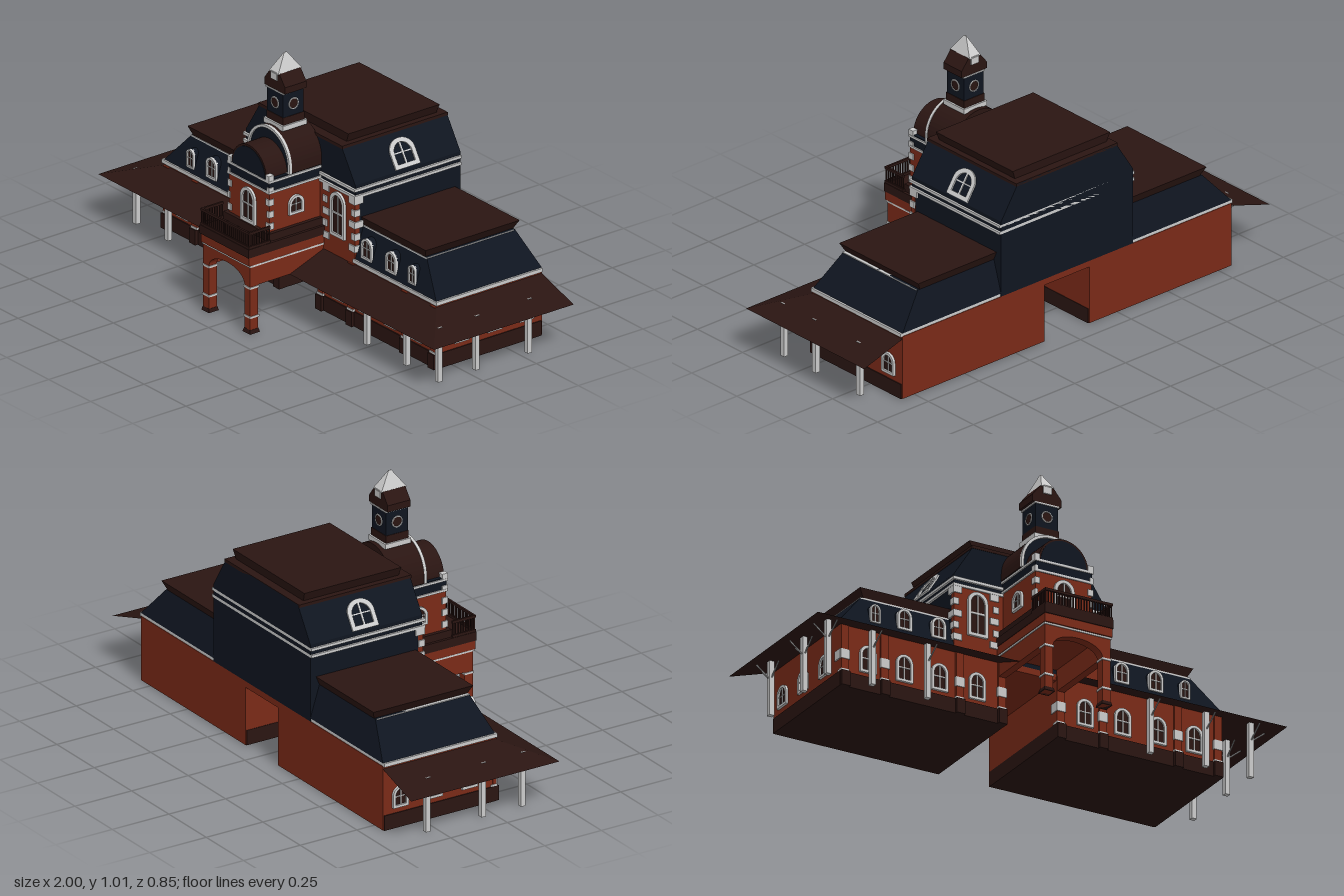
import * as THREE from 'three';

const mat = (color) => new THREE.MeshStandardMaterial({ color, flatShading: true, side: THREE.DoubleSide });

export function createModel() {
  const root = new THREE.Group();
  const brick = mat(0x7a2a18), brown = mat(0x2a1512), navy = mat(0x0f1520), white = mat(0xcccccc);

  const add = (name, geo, m, parent = root) => {
    const mesh = new THREE.Mesh(geo, m);
    mesh.name = name;
    parent.add(mesh);
    return mesh;
  };

  // Block whose bottom and top rectangles [x0, x1, z0, z1] may differ; s = -1 mirrors it
  function taper(name, m, s, bottom, y0, top, y1) {
    const g = new THREE.BoxGeometry(1, 1, 1), p = g.attributes.position;
    for (let i = 0; i < p.count; i++) {
      const up = p.getY(i) > 0, r = up ? top : bottom;
      const right = p.getX(i) > 0;
      const x = s > 0 ? r[right ? 1 : 0] : -r[right ? 0 : 1];
      p.setXYZ(i, x, up ? y1 : y0, p.getZ(i) > 0 ? r[3] : r[2]);
    }
    g.computeVertexNormals();
    return add(name, g, m);
  }
  const block = (name, m, s, x0, x1, y0, y1, z0, z1) =>
    taper(name, m, s, [x0, x1, z0, z1], y0, [x0, x1, z0, z1], y1);

  // Round-topped outline standing on y = base
  function archPath(P, w, h, rise, base = 0) {
    const p = new P();
    p.moveTo(-w / 2, base);
    p.lineTo(w / 2, base);
    p.lineTo(w / 2, h - rise);
    p.absellipse(0, h - rise, w / 2, rise, 0, Math.PI, false);
    p.closePath();
    return p;
  }
  const extrude = (shape, depth, z = 0) =>
    new THREE.ExtrudeGeometry(shape, { depth, bevelEnabled: false, curveSegments: 12 }).translate(0, 0, z);

  // Arched window with frame, glazing bars and pane, facing local +z
  function archWindow(name, w, h, pos, rot = [0, 0, 0], pane = brown, rise = w / 2) {
    const g = new THREE.Group(), t = w * 0.15;
    g.name = name;
    const frame = archPath(THREE.Shape, w, h, rise);
    frame.holes.push(archPath(THREE.Path, w - 2 * t, h - t, rise - t / 2, t));
    add('windowFrame', extrude(frame, 0.014, -0.006), white, g);
    add('windowPane', extrude(archPath(THREE.Shape, w - t, h - t / 2, rise - t / 4, t / 2), 0.006, -0.005), pane, g);
    add('windowBar', new THREE.BoxGeometry(w * 0.06, h - t, 0.006), white, g).position.set(0, h / 2, 0.002);
    add('windowBar', new THREE.BoxGeometry(w - t, h * 0.04, 0.006), white, g).position.set(0, h * 0.52, 0.002);
    g.position.set(...pos);
    g.rotation.set(...rot);
    root.add(g);
  }

  function rod(name, a, b, r) {
    const A = new THREE.Vector3(...a), d = new THREE.Vector3(...b).sub(A);
    const m = add(name, new THREE.CylinderGeometry(r, r, d.length(), 5), white);
    m.position.copy(A).addScaledVector(d, 0.5);
    m.quaternion.setFromUnitVectors(new THREE.Vector3(0, 1, 0), d.normalize());
  }

  for (const s of [-1, 1]) {
    // Ground floor with plinth, either side of the passage
    block('groundFloorWall', brick, s, 0.11, 0.81, 0.002, 0.26, -0.425, 0.068);
    block('plinth', brown, s, 0.108, 0.814, 0, 0.06, -0.42, 0.073);
    for (const x of [0.125, 0.305, 0.625, 0.795]) {
      block('pilaster', brick, s, x - 0.016, x + 0.016, 0.06, 0.25, 0.06, 0.076);
      block('pilasterBase', brown, s, x - 0.018, x + 0.018, 0, 0.06, 0.06, 0.085);
      block('quoin', white, s, x - 0.019, x + 0.019, 0.11, 0.148, 0.035, 0.079);
      block('pilasterBand', white, s, x - 0.018, x + 0.018, 0.06, 0.068, 0.05, 0.079);
    }
    block('cornerQuoin', white, s, 0.78, 0.816, 0.11, 0.148, 0.035, 0.075);
    for (const x of [0.23, 0.39, 0.54, 0.695]) archWindow('groundWindow', 0.07, 0.11, [s * x, 0.075, 0.07]);
    for (const z of [-0.045, -0.2, -0.35]) archWindow('endWindow', 0.068, 0.085, [s * 0.812, 0.082, z], [0, s * Math.PI / 2, 0]);

    // Canopy hipped around the front and the end
    const v = [[0.14, 0.19, 0.23], [1, 0.19, 0.23], [0.81, 0.25, 0.068], [0.14, 0.25, 0.068], [1, 0.19, -0.425], [0.81, 0.25, -0.425]];
    const tri = [0, 1, 2, 0, 2, 3, 1, 4, 5, 1, 5, 2];
    if (s < 0) tri.reverse();
    const canopy = new THREE.BufferGeometry();
    canopy.setAttribute('position', new THREE.Float32BufferAttribute(tri.flatMap((i) => [s * v[i][0], v[i][1], v[i][2]]), 3));
    canopy.computeVertexNormals();
    add('canopy', canopy, brown);

    // Canopy posts and braces
    for (const [x, z] of [[0.475, 0.13], [0.71, 0.13], [0.9, 0.13], [0.9, -0.045], [0.9, -0.29]]) {
      block('canopyPost', white, s, x - 0.01, x + 0.01, 0, 0.22, z - 0.01, z + 0.01);
      if (z > 0) rod('canopyBrace', [s * x, 0.145, z], [s * x, 0.193, z + 0.07], 0.003);
      if (x === 0.9) {
        rod('canopyBrace', [s * x, 0.145, z], [s * (x + 0.06), 0.193, z], 0.003);
        if (z < 0) for (const d of [-0.06, 0.06]) rod('canopyBrace', [s * x, 0.145, z], [s * x, 0.2, z + d], 0.003);
      }
    }

    // Wing mansard roof with cornice, cap and dormers
    block('wingCornice', white, s, 0.32, 0.818, 0.258, 0.273, -0.423, 0.076);
    taper('wingMansard', navy, s, [0.3, 0.81, -0.425, 0.07], 0.273, [0.3, 0.7, -0.385, 0.028], 0.4);
    block('wingRoofTrim', white, s, 0.32, 0.703, 0.39, 0.4, -0.38, 0.03);
    taper('wingRoofCap', brown, s, [0.3, 0.69, -0.385, 0.028], 0.4, [0.3, 0.71, -0.4, 0.04], 0.435);
    for (const [x, w, h] of [[0.39, 0.06, 0.085], [0.535, 0.06, 0.085], [0.66, 0.042, 0.075]]) {
      const dormer = add('dormer', extrude(archPath(THREE.Shape, w, h, w / 2), 0.05, 0.01), navy);
      dormer.position.set(s * x, 0.29, 0);
      archWindow('dormerWindow', w, h, [s * x, 0.29, 0.062]);
    }

    // Front of the central block: brick bay, quoins and tall window
    block('centralBay', brick, s, 0.11, 0.327, 0.25, 0.52, 0.05, 0.071);
    for (let i = 0; i < 5; i++) {
      const y = 0.3 + i * 0.048, w = i % 2 ? 0.022 : 0.036;
      block('bayQuoin', white, s, 0.332 - w, 0.332, y, y + 0.026, 0.072 - w, 0.076);
      block('bayQuoin', white, s, 0.14, 0.14 + w, y, y + 0.026, 0.05, 0.076);
      block('towerQuoin', white, s, 0.124 - w * 0.6, 0.124, y + 0.085, y + 0.11, 0.29, 0.315);
    }
    archWindow('tallWindow', 0.085, 0.18, [s * 0.23, 0.33, 0.073]);

    // Big arched window lying on the end slope of the central mansard
    const lean = Math.atan2(0.083, 0.13);
    archWindow('mansardWindow', 0.115, 0.115, [s * 0.321, 0.573, -0.18], [-lean, s * Math.PI / 2, 0, 'YXZ'], white, 0.05);

    // Porch piers and side beams
    block('porchPier', brick, s, 0.105, 0.14, 0, 0.19, 0.378, 0.415);
    taper('pierFoot', brown, s, [0.1, 0.145, 0.373, 0.42], 0, [0.104, 0.141, 0.377, 0.416], 0.015);
    for (const y of [0.062, 0.18]) block('pierBand', white, s, 0.102, 0.143, y, y + 0.008, 0.375, 0.418);
    block('porchSide', brick, s, 0.11, 0.14, 0.19, 0.31, 0.06, 0.4);
    archWindow('towerSideWindow', 0.07, 0.075, [s * 0.122, 0.42, 0.188], [0, s * Math.PI / 2, 0]);
  }

  // Central block, with the mansard sloping to its ends only
  block('passageLintel', brick, 1, -0.115, 0.115, 0.235, 0.26, -0.425, 0.068);
  block('centralWall', navy, 1, -0.325, 0.325, 0.26, 0.57, -0.425, 0.068);
  for (const y of [0.518, 0.545]) block('centralBand', white, 1, -0.333, 0.333, y, y + 0.011, -0.425, 0.077);
  taper('centralMansard', navy, 1, [-0.325, 0.325, -0.425, 0.068], 0.57, [-0.242, 0.242, -0.425, 0.068], 0.7);
  block('roofTrim', brown, 1, -0.25, 0.25, 0.69, 0.702, -0.425, 0.07);
  taper('centralRoofCap', brown, 1, [-0.225, 0.225, -0.39, 0.03], 0.7, [-0.24, 0.24, -0.395, 0.033], 0.738);

  // Porch front with its arch and trim
  const porch = new THREE.Shape();
  porch.moveTo(0.14, 0.19);
  porch.lineTo(0.14, 0.31);
  porch.lineTo(-0.14, 0.31);
  porch.lineTo(-0.14, 0.19);
  porch.lineTo(-0.105, 0.19);
  porch.absellipse(0, 0.19, 0.105, 0.052, Math.PI, 0, true);
  add('porchArch', extrude(porch, 0.037, 0.378), brick);
  for (const s of [-1, 1]) block('porchBand', white, s, 0.13, 0.143, 0.268, 0.275, 0.07, 0.417);
  block('porchBand', white, 1, -0.143, 0.143, 0.268, 0.275, 0.4, 0.419);
  block('porchEntablature', brick, 1, -0.144, 0.144, 0.276, 0.31, 0.07, 0.423);

  // Balcony with railing
  block('balconyFloor', brown, 1, -0.146, 0.146, 0.31, 0.345, 0.07, 0.427);
  block('towerPlinth', brown, 1, -0.135, 0.135, 0.34, 0.375, 0.07, 0.325);
  const rail = (x0, x1, z0, z1) => {
    block('handrail', brown, 1, x0, x1, 0.402, 0.412, z0, z1);
    block('bottomRail', brown, 1, x0, x1, 0.345, 0.355, z0, z1);
  };
  rail(-0.144, 0.144, 0.417, 0.425);
  for (const s of [-1, 1]) {
    rail(s * 0.14 - 0.004, s * 0.14 + 0.004, 0.322, 0.425);
    for (let i = 0; i < 9; i++) {
      const z = 0.326 + i * 0.0115;
      block('baluster', brown, s, 0.138, 0.142, 0.345, 0.405, z - 0.002, z + 0.002);
    }
  }
  for (let i = 0; i <= 24; i++) block('baluster', brown, 1, -0.14 + i * 0.01167 - 0.002, -0.14 + i * 0.01167 + 0.002, 0.345, 0.405, 0.419, 0.423);

  // Tower over the porch with two stepped barrel roofs
  block('towerWall', brick, 1, -0.12, 0.12, 0.37, 0.535, 0.06, 0.31);
  block('towerFrieze', navy, 1, -0.12, 0.12, 0.53, 0.585, 0.06, 0.311);
  for (const y of [0.53, 0.572]) block('towerBand', white, 1, -0.125, 0.125, y, y + 0.009, 0.065, 0.315);
  archWindow('balconyDoor', 0.085, 0.14, [0, 0.376, 0.312]);
  add('lowerBarrelRoof', extrude(archPath(THREE.Shape, 0.21, 0.685, 0.105, 0.58), 0.24, 0.07), brown);
  add('lowerBarrelFace', extrude(archPath(THREE.Shape, 0.195, 0.677, 0.0975, 0.581), 0.004, 0.308), navy);
  add('upperBarrelRoof', extrude(archPath(THREE.Shape, 0.25, 0.735, 0.125, 0.585), 0.145, 0.065), brown);
  add('upperBarrelFace', extrude(archPath(THREE.Shape, 0.235, 0.727, 0.1175, 0.586), 0.004, 0.21), navy);
  const rim = archPath(THREE.Shape, 0.254, 0.737, 0.127, 0.585);
  rim.holes.push(archPath(THREE.Path, 0.232, 0.726, 0.116, 0.586));
  add('barrelRim', extrude(rim, 0.012, 0.209), white);

  // Clock turret
  const cz = 0.14;
  const stage = (name, m, r0, y0, r1, y1, d0 = r0, d1 = r1) =>
    taper(name, m, 1, [-r0, r0, cz - d0, cz + d0], y0, [-r1, r1, cz - d1, cz + d1], y1);
  stage('turretFoot', white, 0.057, 0.728, 0.057, 0.748);
  stage('turretBase', brown, 0.05, 0.745, 0.05, 0.778);
  stage('clockStage', navy, 0.048, 0.775, 0.048, 0.875);
  stage('turretBand', white, 0.052, 0.872, 0.052, 0.878);
  stage('turretCornice', brown, 0.062, 0.878, 0.062, 0.905, 0.05, 0.05);
  stage('turretRoof', brown, 0.062, 0.905, 0.028, 0.948, 0.05, 0.05);
  stage('spireFoot', white, 0.018, 0.918, 0.018, 0.95, 0.055, 0.055);
  stage('spire', white, 0.028, 0.946, 0.001, 1.015, 0.056, 0.006);
  for (let i = 0; i < 4; i++) {
    const clock = new THREE.Group();
    clock.name = 'clock';
    add('clockRing', new THREE.TorusGeometry(0.021, 0.003, 6, 20), white, clock).position.z = 0.049;
    add('clockFace', new THREE.CylinderGeometry(0.02, 0.02, 0.004, 20).rotateX(Math.PI / 2), brown, clock).position.z = 0.048;
    clock.position.set(0, 0.825, cz);
    clock.rotation.y = i * Math.PI / 2;
    root.add(clock);
  }
  return root;
}
